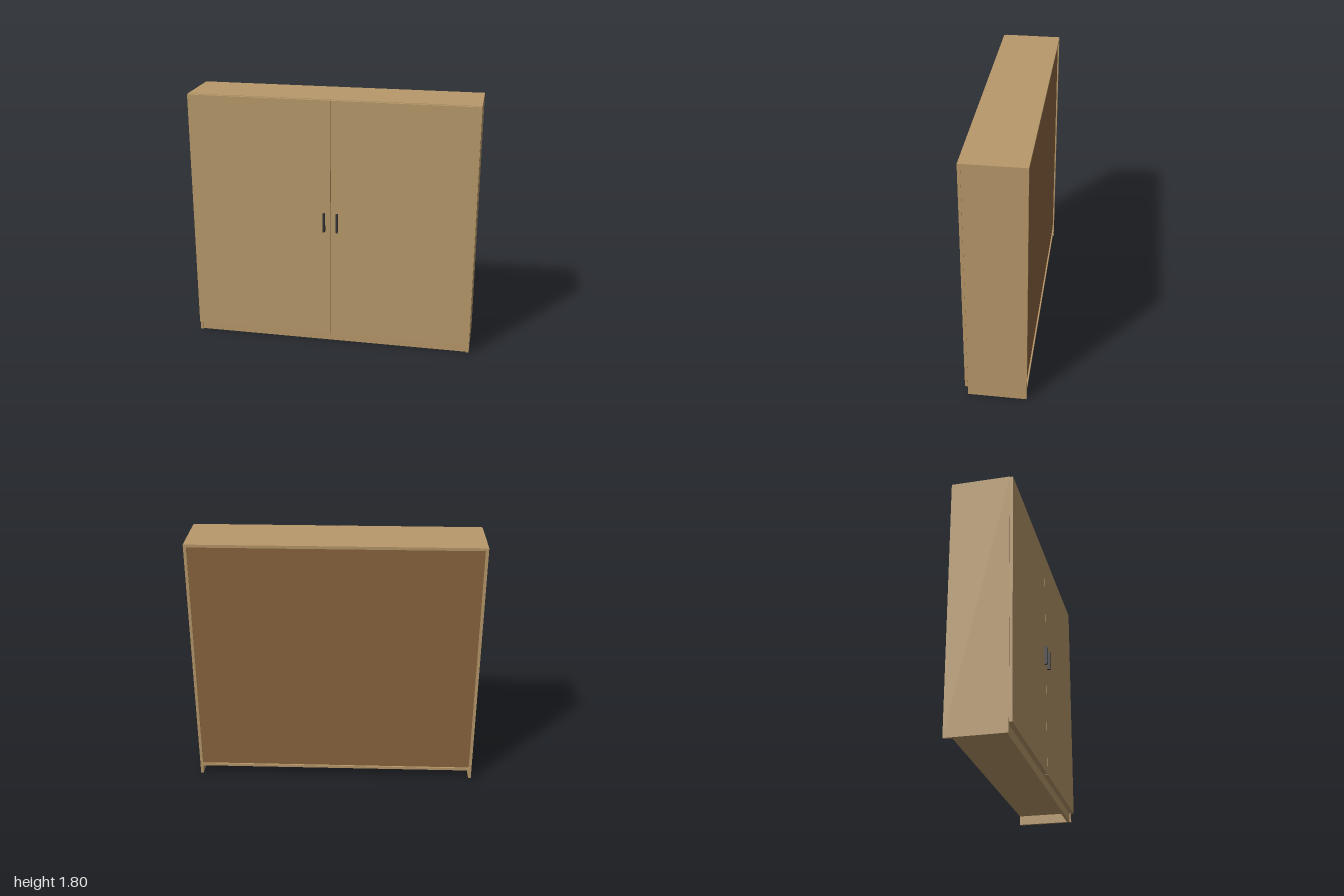
import * as THREE from 'three';

export function createModel() {
  const model = new THREE.Group();
  model.name = 'cabinet';

  const material = (name, color) => {
    const m = new THREE.MeshStandardMaterial({ color });
    m.name = name;
    return m;
  };
  const wood = material('light wood', 0xb8996a);
  const backWood = material('dark back board', 0x8b653f);
  const black = material('handle black', 0x333333);

  // A box given by its limits on each axis
  const board = (name, mat, [x0, x1], [y0, y1], [z0, z1]) => {
    const mesh = new THREE.Mesh(new THREE.BoxGeometry(x1 - x0, y1 - y0, z1 - z0), mat);
    mesh.position.set((x0 + x1) / 2, (y0 + y1) / 2, (z0 + z1) / 2);
    mesh.name = name;
    model.add(mesh);
  };

  const T = 0.02; // board thickness
  const H = 1.8;
  const back = -0.222, front = 0.178, doorFront = 0.199;
  const inner = 1 - T;
  const floor = 0.067; // underside of the bottom board

  // Carcass
  board('topPanel', wood, [-inner, inner], [H - T, H], [back, front]);
  board('bottomPanel', wood, [-inner, inner], [floor, floor + T], [back, front]);
  board('plinth', wood, [-inner, inner], [0, floor], [front - 0.01 - T, front - 0.01]);
  board('backPanel', backWood, [-inner, inner], [floor + T, H - T], [back + 0.01, back + 0.018]);

  // Side panels, doors and handles, mirrored left and right
  for (const [side, s] of [['left', 1], ['right', -1]]) {
    const span = (a, b) => (s > 0 ? [a, b] : [-b, -a]);
    board(side + 'SidePanel', wood, span(inner, 1), [0, H], [back, front]);
    board(side + 'Door', wood, span(0.002, 0.998), [floor, H - 0.003], [front + 0.001, doorFront]);
    board(side + 'Handle', black, span(0.038, 0.053), [0.864, 1.0], [doorFront, 0.222]);
  }

  return model;
}
